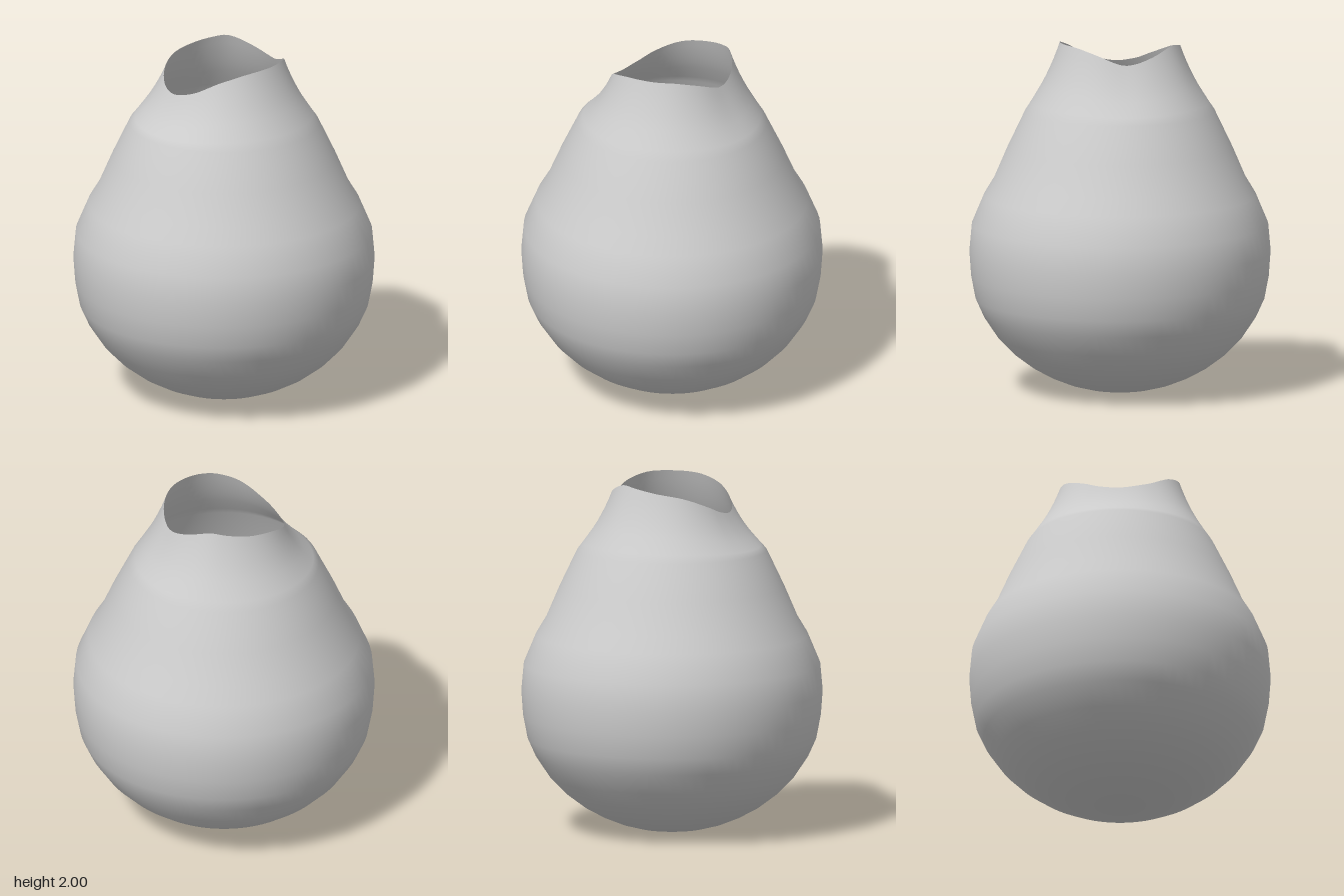
import * as THREE from 'three';
import { mergeVertices } from 'three/addons/utils/BufferGeometryUtils.js';

// Rim height by angle in degrees around y, from +x towards +z
const RIM = [
  [0, 2.0], [36, 1.99], [62, 1.95], [73, 1.92], [90, 1.87], [116, 1.83], [137, 1.845], [152, 1.88],
  [180, 1.94], [208, 1.97], [228, 1.99], [244, 2.0], [270, 1.95], [287, 1.92], [300, 1.915],
  [324, 1.965], [345, 1.995],
];

// Smooth periodic interpolation of the rim heights (cubic Hermite)
function rimHeight(angle) {
  const n = RIM.length;
  const at = (i) => {
    const turn = Math.floor(i / n);
    const [a, h] = RIM[i - turn * n];
    return [a + 360 * turn, h];
  };
  const deg = ((THREE.MathUtils.radToDeg(angle) % 360) + 360) % 360;
  let i = 0;
  while (at(i + 1)[0] <= deg) i++;
  const [p, a, b, q] = [at(i - 1), at(i), at(i + 1), at(i + 2)];
  const w = b[0] - a[0], t = (deg - a[0]) / w;
  const m0 = ((b[1] - p[1]) / (b[0] - p[0])) * w;
  const m1 = ((q[1] - a[1]) / (q[0] - a[0])) * w;
  const t2 = t * t, t3 = t2 * t;
  return (2 * t3 - 3 * t2 + 1) * a[1] + (t3 - 2 * t2 + t) * m0 + (3 * t2 - 2 * t3) * b[1] + (t3 - t2) * m1;
}

export function createModel() {
  const group = new THREE.Group();
  group.name = 'vase';

  // Round-bottomed body up to the shoulder, then a neck in even steps
  const SHOULDER = 1.6, TOP = 2;
  const profile = [
    [0, 0], [0.1, 0.005], [0.2, 0.02], [0.3, 0.047], [0.4, 0.088], [0.5, 0.143], [0.6, 0.218],
    [0.69, 0.31], [0.77, 0.43], [0.815, 0.53], [0.84, 0.66], [0.85, 0.8], [0.836, 0.955],
    [0.767, 1.12], [0.71, 1.215], [0.635, 1.39], [0.535, 1.6],
    [0.504, 1.65], [0.475, 1.7], [0.446, 1.75], [0.42, 1.8], [0.397, 1.85], [0.376, 1.9],
    [0.357, 1.95], [0.34, 2],
  ].map(([r, y]) => new THREE.Vector2(r, y));

  let geometry = new THREE.LatheGeometry(profile, 72);

  // Squeeze the neck rows so that the top row follows the wavy rim
  const pos = geometry.attributes.position;
  for (let i = 0; i < pos.count; i++) {
    const y = pos.getY(i);
    if (y <= SHOULDER) continue;
    const t = (y - SHOULDER) / (TOP - SHOULDER);
    const rim = rimHeight(Math.atan2(pos.getZ(i), pos.getX(i)));
    pos.setY(i, SHOULDER + t * (rim - SHOULDER));
  }

  // Weld the seam so the shading runs smoothly all round
  geometry.deleteAttribute('uv');
  geometry.deleteAttribute('normal');
  geometry = mergeVertices(geometry, 1e-4);
  geometry.computeVertexNormals();

  const body = new THREE.Mesh(
    geometry,
    new THREE.MeshStandardMaterial({ color: 0xcccccc, side: THREE.DoubleSide }),
  );
  body.name = 'vaseBody';
  group.add(body);
  return group;
}
